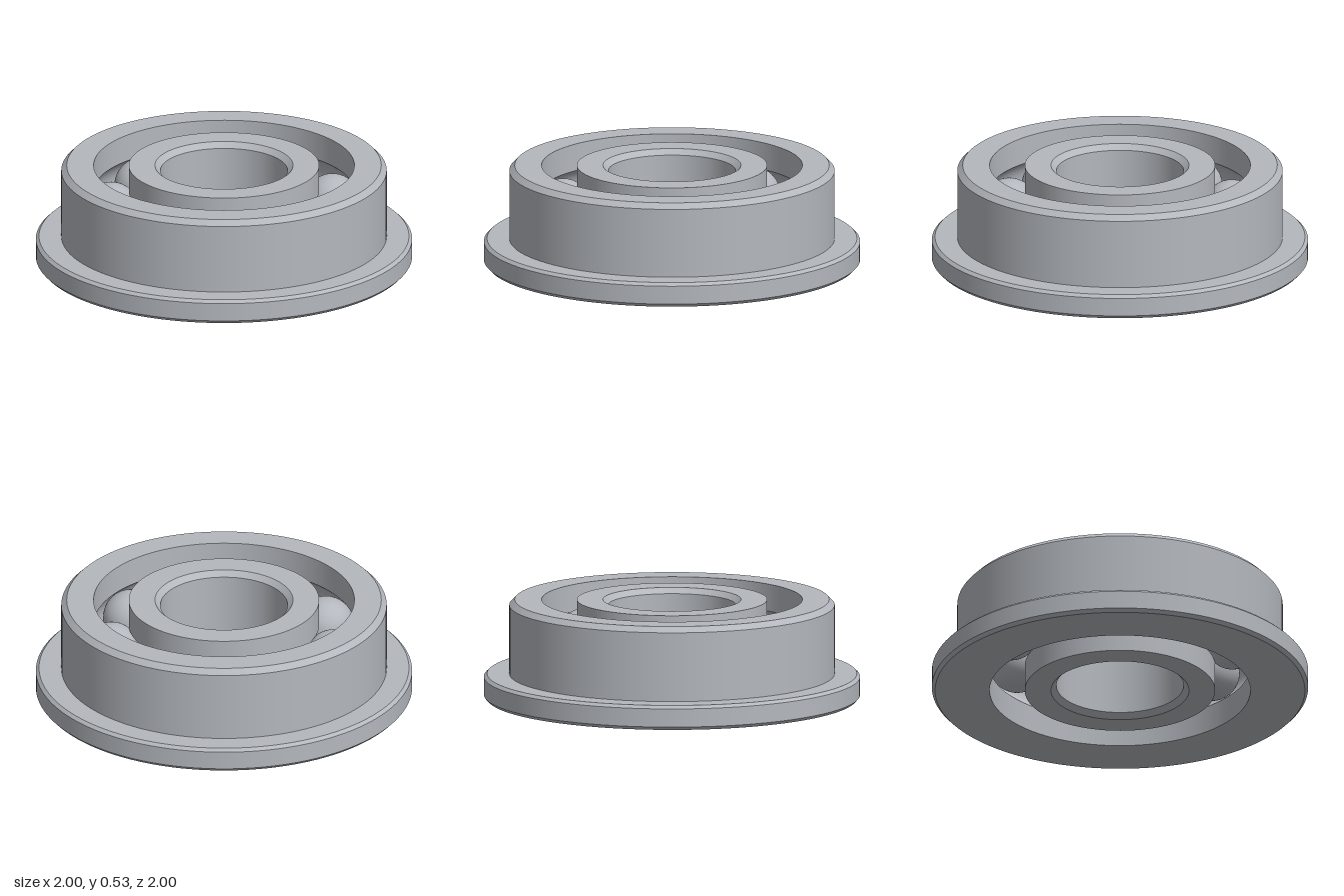
import * as THREE from 'three';
import { mergeGeometries } from 'three/addons/utils/BufferGeometryUtils.js';

const HEIGHT = 0.532, MID = HEIGHT / 2;
const PITCH = 0.6, BALL_R = 0.149, GROOVE_R = 0.152, BALLS = 9;
const SEGMENTS = 128;

// Revolve each band on its own so edges between bands stay sharp.
function revolve(bands) {
  return mergeGeometries(bands.map((band) =>
    new THREE.LatheGeometry(band.map(([r, y]) => new THREE.Vector2(r, y)), SEGMENTS)));
}

// Straight bands between consecutive profile points.
function straightBands(points) {
  return points.slice(1).map((p, i) => [points[i], p]);
}

// Rounded raceway cut into a ring wall of radius r; dir is +1 upwards, -1 downwards.
function raceway(r, dir) {
  const dx = r - PITCH;
  const half = Math.acos(Math.abs(dx) / GROOVE_R);
  const arc = [];
  for (let i = 0; i <= 16; i++) {
    const a = dir * half * (i / 8 - 1);
    arc.push([PITCH + Math.sign(dx) * GROOVE_R * Math.cos(a), MID + GROOVE_R * Math.sin(a)]);
  }
  return arc;
}

export function createModel() {
  const group = new THREE.Group();
  group.name = 'flangedBallBearing';
  const steel = new THREE.MeshStandardMaterial({ color: 0xb4b8be });
  steel.name = 'steel';

  const add = (name, geometry) => {
    const mesh = new THREE.Mesh(geometry, steel);
    mesh.name = name;
    group.add(mesh);
    return mesh;
  };

  // Outer ring with chamfered flange
  const outerR = 0.693;
  const outerGroove = raceway(outerR, -1);
  add('outerRing', revolve([
    ...straightBands([
      [outerR, 0], [0.983, 0], [1, 0.018], [1, 0.116], [0.983, 0.132],
      [0.865, 0.132], [0.865, 0.503], [0.836, HEIGHT], [outerR, HEIGHT], outerGroove[0],
    ]),
    outerGroove,
    [outerGroove.at(-1), [outerR, 0]],
  ]));

  // Inner ring with chamfered bore
  const innerR = 0.506, bore = 0.338, boreEdge = 0.367, chamfer = 0.029;
  const innerGroove = raceway(innerR, 1);
  add('innerRing', revolve([
    ...straightBands([[boreEdge, 0], [innerR, 0], innerGroove[0]]),
    innerGroove,
    ...straightBands([
      innerGroove.at(-1), [innerR, HEIGHT], [boreEdge, HEIGHT],
      [bore, HEIGHT - chamfer], [bore, chamfer], [boreEdge, 0],
    ]),
  ]));

  // Balls spaced evenly in the raceways
  const ballGeometry = new THREE.SphereGeometry(BALL_R, 40, 24);
  for (let i = 0; i < BALLS; i++) {
    const a = (i / BALLS) * Math.PI * 2;
    add('ball' + (i + 1), ballGeometry).position.set(PITCH * Math.cos(a), MID, PITCH * Math.sin(a));
  }
  return group;
}
